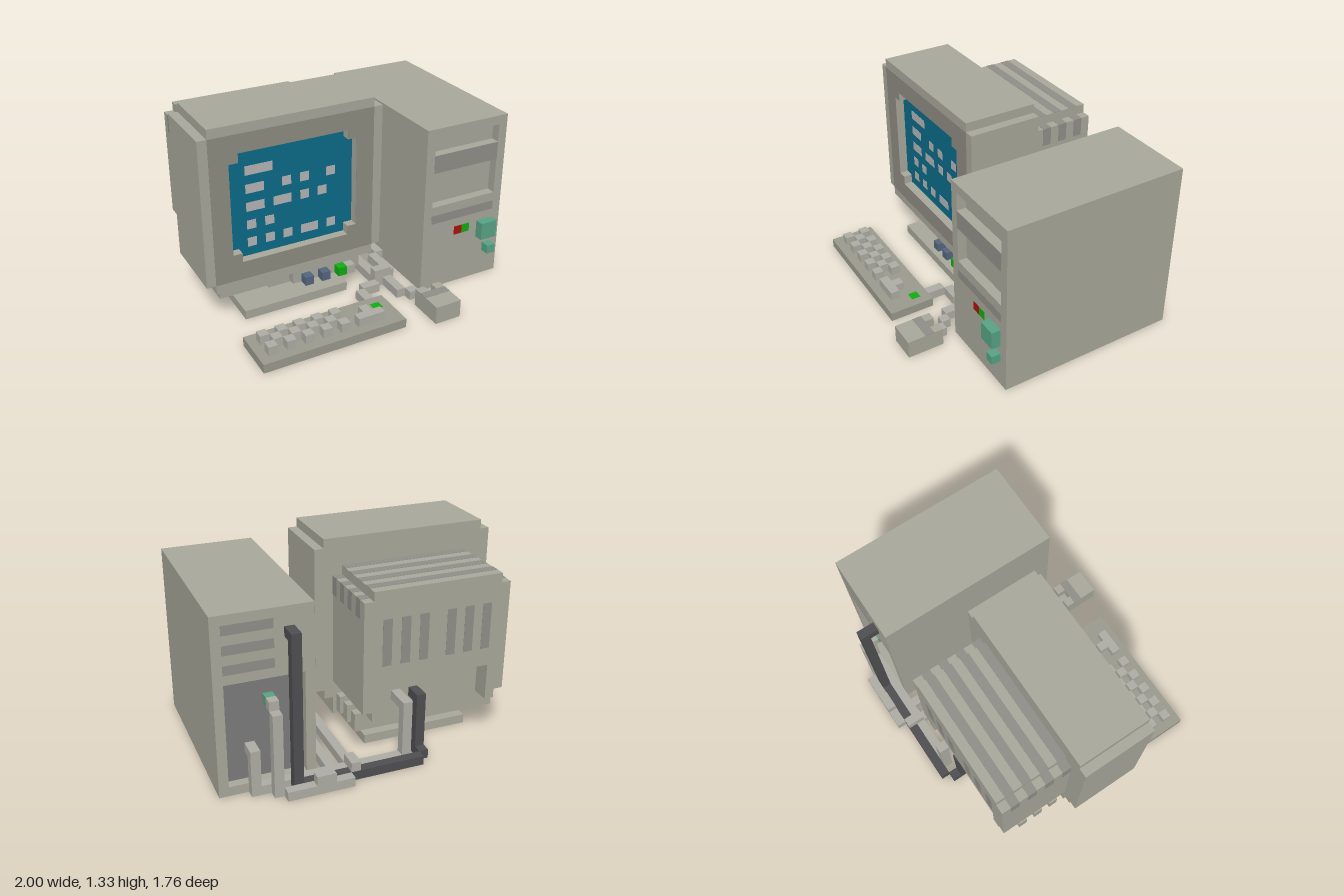
import * as THREE from 'three';

// everything sits on a 33 x 22 x 29 grid of cubes
const U = 2 / 33;
const C = {
  body: 0xaaa99c, shade: 0x92908a, face: 0x8f8d82, keyboard: 0x9c9b8f, cable: 0xb0afa6, dark: 0x505052,
  screen: 0x0b6c8a, text: 0xb6b6b6, teal: 0x58a586, red: 0xb01010, green: 0x10b010, blue: 0x55677f, port: 0x7c7c7e,
};
const mats = {};
const mat = (c) => (mats[c] ??= new THREE.MeshStandardMaterial({ color: C[c], flatShading: true }));

export function createModel() {
  const root = new THREE.Group();
  let group = root;
  const part = (name) => {
    group = new THREE.Group();
    group.name = name;
    root.add(group);
  };

  // block between grid lines: x from i0 to i1, y from j0 to j1, z from k0 to k1
  const box = (name, color, i0, i1, j0, j1, k0, k1) => {
    const m = new THREE.Mesh(new THREE.BoxGeometry((i1 - i0) * U, (j1 - j0) * U, (k1 - k0) * U), mat(color));
    m.position.set(((i0 + i1) / 2 - 16.5) * U, ((j0 + j1) / 2) * U, ((k0 + k1) / 2 - 14.5) * U);
    m.name = name;
    group.add(m);
  };
  // slab with an x-y outline and holes, from depth k0 to k1
  const slab = (name, color, outline, holes, k0, k1) => {
    const pts = (a) => a.map(([i, j]) => new THREE.Vector2((i - 16.5) * U, j * U));
    const s = new THREE.Shape(pts(outline));
    holes.forEach((h) => s.holes.push(new THREE.Path(pts(h))));
    const m = new THREE.Mesh(new THREE.ExtrudeGeometry(s, { depth: (k1 - k0) * U, bevelEnabled: false }), mat(color));
    m.position.z = (k0 - 14.5) * U;
    m.name = name;
    group.add(m);
  };
  const rect = (i0, i1, j0, j1) => [[i0, j0], [i1, j0], [i1, j1], [i0, j1]];
  // rectangle with its four corner cubes cut out
  const notched = (a, b, c, d) => [
    [a + 1, c], [b - 1, c], [b - 1, c + 1], [b, c + 1], [b, d - 1], [b - 1, d - 1],
    [b - 1, d], [a + 1, d], [a + 1, d - 1], [a, d - 1], [a, c + 1], [a + 1, c + 1],
  ];
  const E = 0.03; // thickness of flush colour patches

  // Tower case with recessed drive bays and rear port bay
  part('tower');
  box('caseCore', 'body', 23, 33, 0, 19, 4, 22);
  slab('caseFront', 'body', rect(23, 33, 0, 19), [rect(24, 32, 16, 18), rect(24, 32, 10, 14)], 22, 23);
  slab('caseBack', 'body', rect(23, 33, 0, 19), [rect(24, 32, 1, 12)], 3, 4);
  box('portPanel', 'port', 24, 32, 1, 12, 4 - E, 4);
  box('bayBand', 'shade', 24, 32, 14, 16, 23, 23 + E);
  box('frontSlot', 'shade', 24, 32, 8, 9, 23, 23 + E);
  box('redLight', 'red', 27, 28, 6, 7, 23, 23 + E);
  box('greenLight', 'green', 28, 29, 6, 7, 23, 23 + E);
  box('powerButton', 'teal', 30, 32, 5, 7, 23, 24);
  box('resetButton', 'teal', 31, 32, 3, 4, 23, 24);
  for (const j of [13, 15, 17]) box('rearVent', 'shade', 27, 32, j, j + 1, 3 - E, 3);

  // Monitor body, bezel and screen
  part('monitor');
  slab('monitorBody', 'body', notched(0, 20, 4, 22), [], 11, 18);
  slab('bezel', 'body', notched(0, 20, 4, 22), [notched(3, 17, 7, 19)], 18, 19);
  slab('bezelFace', 'face', rect(1, 19, 5, 21), [notched(3, 17, 7, 19)], 19, 19 + E);
  slab('screen', 'screen', notched(3, 17, 7, 19), [], 18, 18 + E);
  const marks = [[16, 5, 8], [14, 5, 7], [14, 9, 10], [14, 11, 12], [14, 14, 15], [12, 5, 7], [12, 8, 10],
    [12, 11, 12], [12, 13, 14], [10, 5, 6], [10, 7, 8], [8, 5, 6], [8, 7, 8], [8, 9, 10], [8, 11, 13], [8, 14, 15]];
  for (const [j, a, b] of marks) box('screenMark', 'text', a, b, j, j + 1, 18 + E, 18 + 2 * E);

  // Rear housing with a plug recess and vents
  const housing = notched(2, 18, 5, 19);
  slab('rearHousing', 'body', housing, [], 5, 11);
  const cutBottom = [[4, 5], [4, 9], [16, 9], [16, 5], ...housing.slice(1), [3, 5]];
  slab('rearHousingBack', 'body', cutBottom, [], 3, 5);
  for (const k of [4, 6, 8, 10]) {
    box('topVent', 'shade', 3, 17, 19, 19 + E, k, k + 1);
    for (const [a, b] of [[2, 3], [17, 18]]) box('shoulderVent', 'shade', a - E, b + E, 16, 18 + E, k, k + 1);
  }
  for (const i of [4, 6, 8, 11, 13, 15]) box('backVent', 'shade', i, i + 1, 11, 16, 3 - E, 3);
  for (const k of [5, 7, 9]) box('undersideFin', 'body', 2, 18, 3, 5, k, k + 1);

  // Stand with control buttons
  part('stand');
  box('basePlate', 'body', 4, 16, 0, 1, 7, 19);
  box('neck', 'body', 8, 12, 1, 2, 10, 16);
  box('standBody', 'body', 2, 18, 2, 4, 11, 17);
  box('controlPanel', 'body', 10, 18, 2, 4, 17, 18);
  for (const [i, c] of [[11, 'blue'], [13, 'blue'], [15, 'green'], [16, 'cable']])
    box('controlButton', c, i, i + 1, 2, 3, 18, 19);

  // Keyboard with staggered keys
  part('keyboard');
  box('keyboardBase', 'keyboard', 2, 18, 0, 1, 23, 28);
  for (const [k, start] of [[24, 3], [25, 4], [26, 3]])
    for (let i = start; i < 12; i += 2) box('key', 'cable', i, i + 1, 1, 2, k, k + 1);
  box('arrowKeys', 'cable', 13, 16, 1, 2, 26, 27);
  box('upKey', 'cable', 14, 15, 1, 2, 25, 26);
  box('keyboardLight', 'green', 16, 17, 1, 1 + E, 24, 25);

  // Mouse
  part('mouse');
  slab('mouseNose', 'body', [[21, 0], [24, 0], [24, 2], [23, 2], [23, 1], [22, 1], [22, 2], [21, 2]], [], 25, 26);
  box('mouseBody', 'body', 21, 24, 0, 2, 26, 29);
  box('mouseBand', 'shade', 21, 24, 2, 2 + E, 26, 27);

  // Cables as runs of blocks
  part('cables');
  const runs = {
    keyboardCable: ['cable', [16, 17, 0, 1, 21, 23], [17, 19, 0, 1, 20, 21], [19, 20, 0, 1, 2, 20],
      [19, 21, 1, 2, 19, 20], [19, 20, 1, 2, 1, 3], [20, 27, 0, 1, 0, 1], [22, 24, 1, 2, 0, 1],
      [27, 28, 0, 9, 1, 2], [27, 28, 9, 10, 2, 3]],
    mouseCable: ['cable', [22, 23, 0, 1, 24, 26], [21, 22, 0, 1, 23, 24], [20, 21, 0, 1, 19, 23], [21, 22, 0, 1, 15, 19],
      [22, 23, 0, 1, 10, 15], [21, 22, 0, 1, 2, 10], [22, 30, 0, 1, 2, 3], [29, 30, 1, 5, 2, 3], [29, 30, 4, 5, 3, 4]],
    videoCable: ['cable', [13, 22, 0, 1, 2, 3], [13, 14, 1, 7, 2, 3], [13, 14, 6, 7, 3, 5]],
    powerCable: ['dark', [12, 26, 0, 1, 1, 2], [11, 12, 0, 1, 2, 3], [11, 12, 0, 7, 3, 4], [11, 12, 6, 7, 4, 5],
      [25, 26, 1, 16, 1, 2], [25, 26, 16, 17, 1, 3]],
    plug: ['teal', [27, 28, 9, 10, 3, 4]],
  };
  for (const [name, [color, ...blocks]] of Object.entries(runs))
    for (const b of blocks) box(name, color, ...b);

  return root;
}
